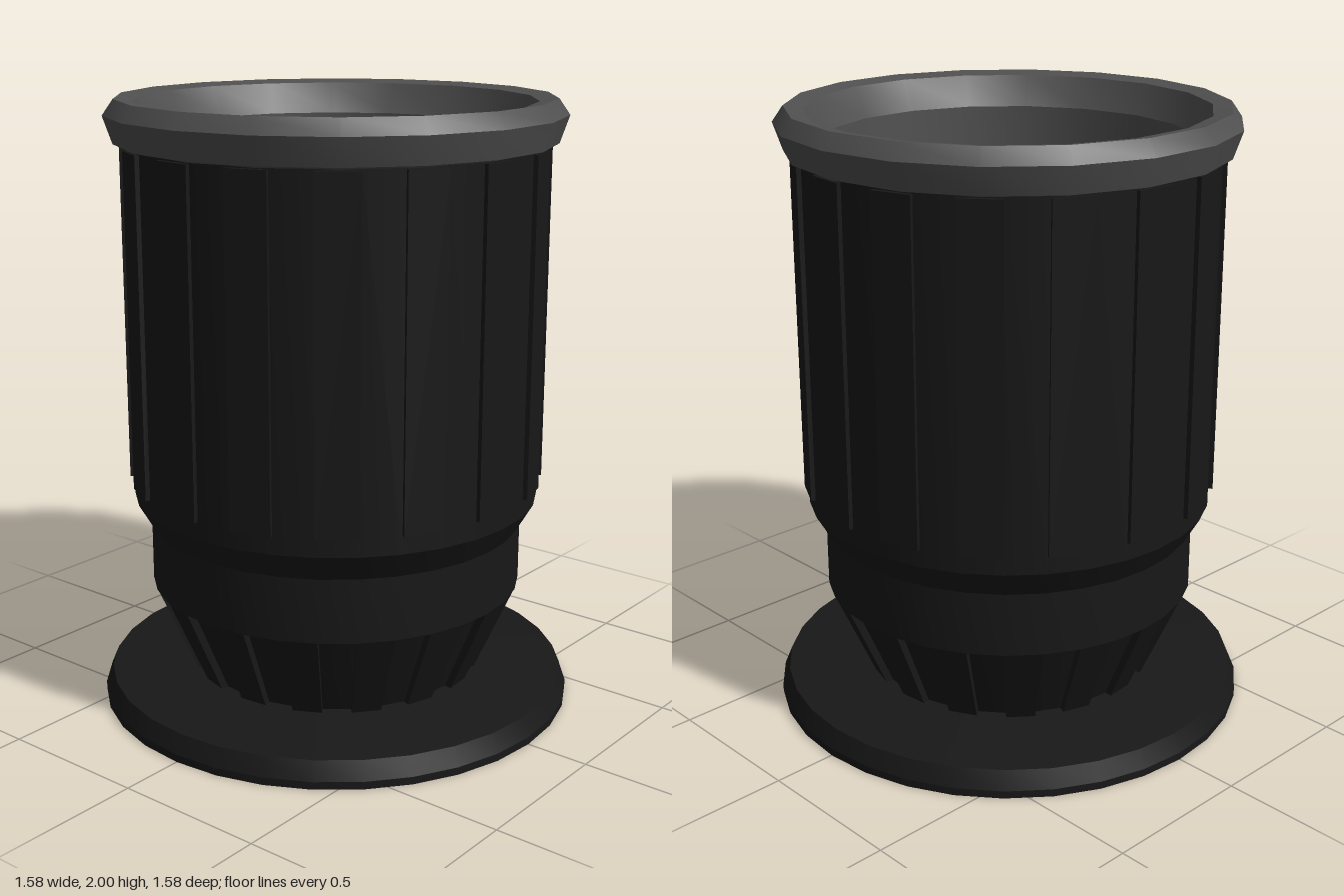
import * as THREE from 'three';
import { toCreasedNormals } from 'three/addons/utils/BufferGeometryUtils.js';

const SIDES = 32;
const STEP = (Math.PI * 2) / SIDES;

// Revolved part with crisp profile edges and smooth sides
function lathe(name, profile, sides, material, start = 0) {
  const points = profile.map(([r, y]) => new THREE.Vector2(r, y));
  const geometry = toCreasedNormals(new THREE.LatheGeometry(points, sides, start), 0.37);
  const mesh = new THREE.Mesh(geometry, material);
  mesh.name = name;
  return mesh;
}

// Block filling one facet of the round body, between an inner and outer radius
function facetBlock(low, high) {
  const geometry = new THREE.BoxGeometry(1, 1, 1);
  const p = geometry.attributes.position;
  for (let i = 0; i < p.count; i++) {
    const end = p.getY(i) > 0 ? high : low;
    const r = p.getZ(i) > 0 ? end.outer : end.inner;
    const a = p.getX(i) > 0 ? STEP : 0;
    p.setXYZ(i, r * Math.sin(a), end.y, r * Math.cos(a));
  }
  return toCreasedNormals(geometry, 0.1);
}

// Repeats a block on every second facet
function ring(name, geometry, first, material) {
  const group = new THREE.Group();
  group.name = name;
  for (let k = first; k < SIDES; k += 2) {
    const mesh = new THREE.Mesh(geometry, material);
    mesh.name = name + 'Block';
    mesh.rotation.y = k * STEP;
    group.add(mesh);
  }
  return group;
}

export function createModel() {
  const model = new THREE.Group();
  model.name = 'ribbedCup';
  const dark = new THREE.MeshStandardMaterial({ color: 0x181818 });
  const grey = new THREE.MeshStandardMaterial({ color: 0x505050 });

  // Wide foot plate
  model.add(lathe('foot', [[0, 0], [0.79, 0], [0.79, 0.025], [0.765, 0.085], [0.46, 0.105]], SIDES, dark));

  // Outer body: grooved flare, collar, chamfer and barrel
  model.add(lathe('body', [
    [0.455, 0.09], [0.582, 0.385], [0.618, 0.4], [0.618, 0.61], [0.67, 0.7], [0.67, 1.88],
  ], SIDES, dark));

  // Upright ribs on the barrel
  model.add(ring('barrelRib', facetBlock(
    { y: 0.76, inner: 0.65, outer: 0.685 }, { y: 1.85, inner: 0.65, outer: 0.685 },
  ), 1, dark));

  // Raised staves on the flare, leaving notches under the ribs
  model.add(ring('flareStave', facetBlock(
    { y: 0.09, inner: 0.44, outer: 0.48 }, { y: 0.4, inner: 0.57, outer: 0.616 },
  ), 0, dark));

  // Rim, inner wall and floor
  model.add(lathe('rimAndLining', [
    [0.66, 1.85], [0.705, 1.862], [0.735, 1.95], [0.7, 2], [0.64, 1.99],
    [0.592, 1.89], [0.56, 0.8], [0, 0.8],
  ], 18, grey, Math.PI / 2));

  return model;
}
